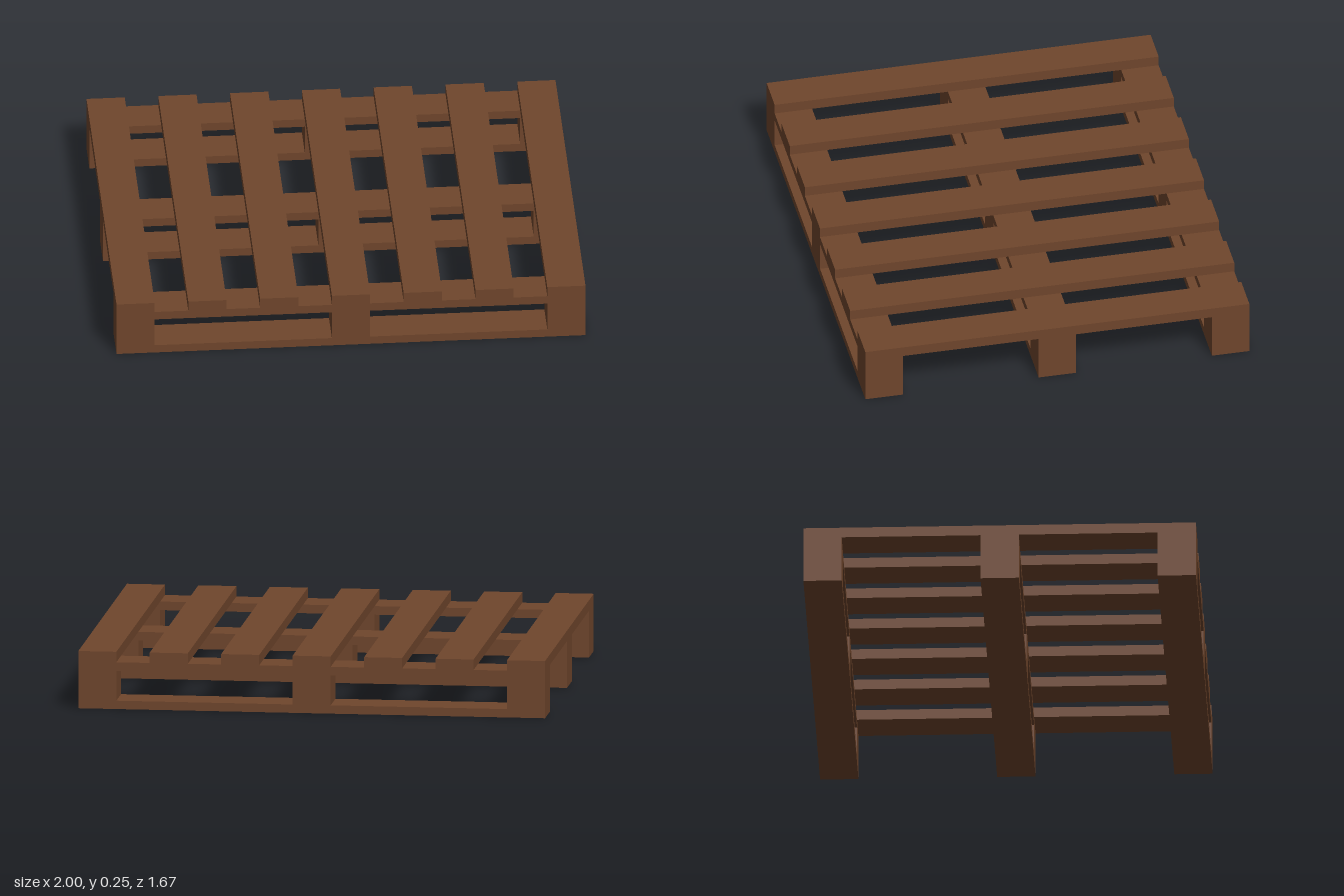
import * as THREE from 'three';

export function createModel() {
  const group = new THREE.Group();
  group.name = 'pallet';
  const wood = new THREE.MeshStandardMaterial({ color: 0x70462c });
  wood.name = 'brown wood';

  const W = 0.163;           // board width
  const depth = 1.67;        // front to back
  const yBottom = 0.036;     // top of bottom boards
  const yBlock = 0.165;      // top of blocks
  const yBearer = 0.202;     // top of cross boards
  const yTop = 0.247;        // top of deck

  function board(name, w, d, y0, y1, x, z) {
    const mesh = new THREE.Mesh(new THREE.BoxGeometry(w, y1 - y0, d), wood);
    mesh.name = name;
    mesh.position.set(x, (y0 + y1) / 2, z);
    group.add(mesh);
  }

  // Three runners: bottom board, three blocks and upper cross board
  const edgeX = 1 - W / 2;
  const edgeZ = (depth - W) / 2;
  for (const z of [-edgeZ, 0, edgeZ]) {
    board('bottomBoard', 2, W, 0, yBottom, 0, z);
    for (const x of [-edgeX, 0, edgeX]) board('block', W, W, yBottom, yBlock, x, z);
    board('crossBoard', 2, W, yBlock, yBearer, 0, z);
  }

  // Seven evenly spaced deck slats
  for (let i = -3; i <= 3; i++) {
    board('deckSlat', W, depth, yBearer, yTop, (i * edgeX) / 3, 0);
  }
  return group;
}
